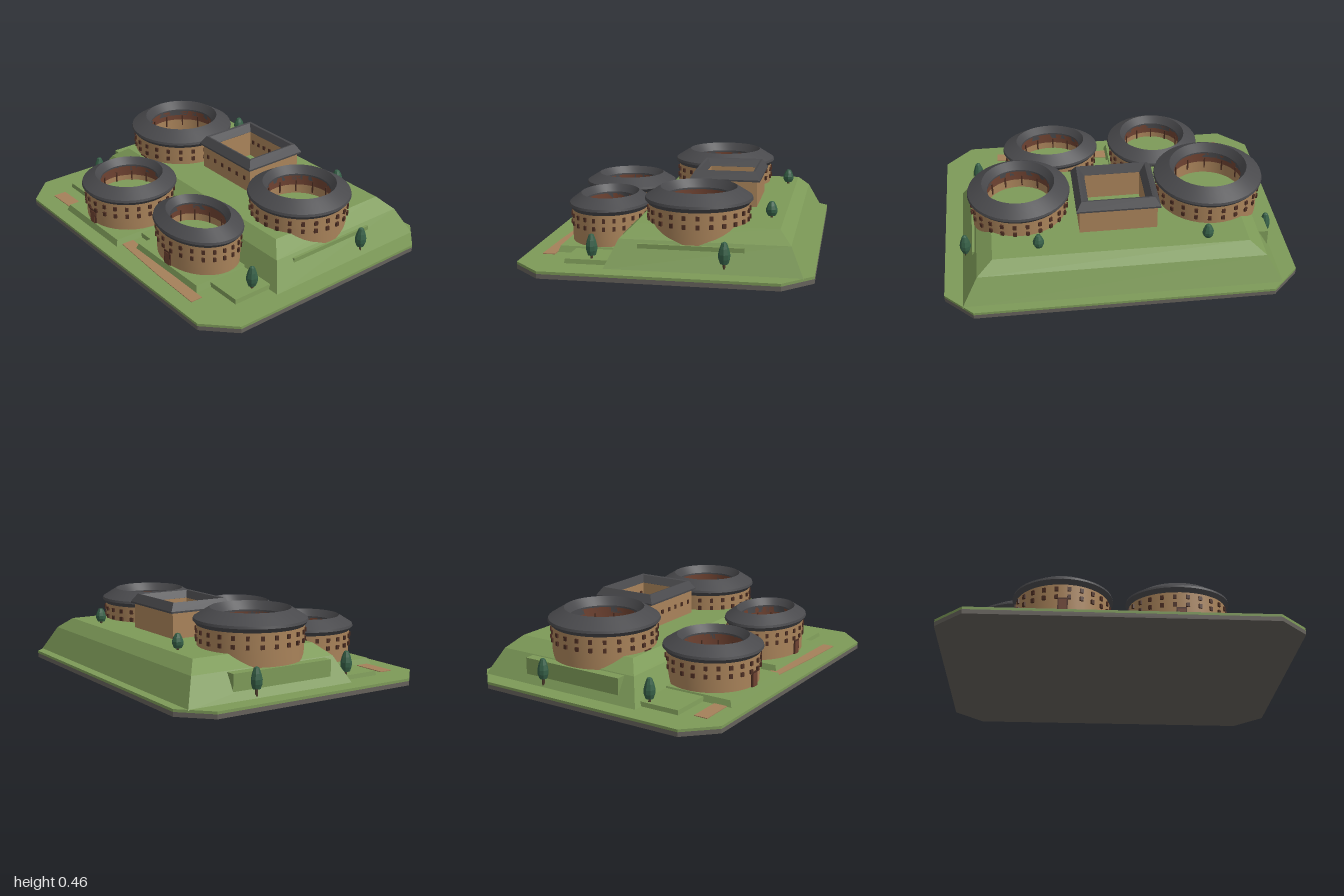
import * as THREE from 'three';
import { toCreasedNormals } from 'three/addons/utils/BufferGeometryUtils.js';

const mat = (name, color) => {
  const m = new THREE.MeshStandardMaterial({ color });
  m.name = name;
  return m;
};

// Rectangular cross-sections [y, x0, x1, z0, z1] joined with flat faces
function loft(sections, cap = true) {
  const pos = [], idx = [];
  for (const [y, x0, x1, z0, z1] of sections)
    pos.push(x0, y, z1, x1, y, z1, x1, y, z0, x0, y, z0);
  for (let s = 0; s < sections.length - 1; s++)
    for (let i = 0; i < 4; i++) {
      const a = s * 4 + i, b = s * 4 + (i + 1) % 4;
      idx.push(a, b, b + 4, a, b + 4, a + 4);
    }
  if (cap) {
    const t = (sections.length - 1) * 4;
    idx.push(t, t + 1, t + 2, t, t + 2, t + 3);
  }
  const g = new THREE.BufferGeometry();
  g.setAttribute('position', new THREE.Float32BufferAttribute(pos, 3));
  g.setIndex(idx);
  const flat = g.toNonIndexed();
  flat.computeVertexNormals();
  return flat;
}

// Flat plan outline of [x, z] points, raised from y by h
function slab(points, y, h) {
  const shape = new THREE.Shape(points.map(([x, z]) => new THREE.Vector2(x, -z)));
  const g = new THREE.ExtrudeGeometry(shape, { depth: h, bevelEnabled: false });
  return g.rotateX(-Math.PI / 2).translate(0, y, 0);
}

const lathe = (pts, n = 40) =>
  toCreasedNormals(new THREE.LatheGeometry(pts.map(p => new THREE.Vector2(...p)), n), 0.35);

export function createModel() {
  const model = new THREE.Group();
  const grass = mat('grass', 0x7d9a58), stone = mat('stone', 0x65615b);
  const earth = mat('earth wall', 0xa9835a), tile = mat('roof tile', 0x49494c);
  const wood = mat('gallery wood', 0x6e4231), dark = mat('window wood', 0x4e2f23);
  const dirt = mat('path', 0xa5805a), leaf = mat('foliage', 0x365f47), bark = mat('bark', 0x4a3a2a);

  const add = (parent, name, geo, material, x = 0, y = 0, z = 0) => {
    const m = new THREE.Mesh(geo, material);
    m.name = name;
    m.position.set(x, y, z);
    parent.add(m);
    return m;
  };

  // Ground plate
  const plate = [[-1, -.64], [-.84, -.8], [.84, -.8], [1, -.64], [1, .64], [.84, .8], [-.84, .8], [-1, .64]];
  add(model, 'stoneBase', slab(plate, 0, .025), stone);
  add(model, 'lawn', slab(plate, .025, .015), grass);

  // Hill and terraces
  add(model, 'hill', loft([[.035, -.9, .9, -.748, .31], [.185, -.81, .81, -.675, .24],
    [.25, -.72, .72, -.61, .17]]), grass);
  add(model, 'frontTerrace', loft([[.035, -.84, .83, .1, .54], [.065, -.835, .825, .1, .535]]), grass);
  const pads = [[-.56, -.14, .31, .32, .08, .18], [.55, -.15, .285, .285, .1, .168],
    [-.32, .435, .28, .28, .035, .075], [.33, .41, .29, .23, .035, .075]];
  for (const [x, z, w, d, y0, y1] of pads) {
    const t = y0 < .05 ? .015 : 0;
    add(model, 'housePad', loft([[y0, x - w, x + w, z - d, z + d],
      [y1, x - w + t, x + w - t, z - d + t, z + d - t]]), grass);
  }

  // Footpath
  add(model, 'footpath', slab([[-.8, .61], [-.04, .6], [.04, .605], [.3, .635], [.67, .64],
    [.67, .71], [.35, .7], [-.04, .675], [-.8, .69]], .038, .006), dirt);

  // Ring houses: R roof radius, ri courtyard radius, base, eave and ridge heights
  function roundHouse(x, z, R, ri, base, eave, ridge, floor, squash = 1) {
    const house = new THREE.Group();
    house.name = 'roundHouse';
    house.position.set(x, 0, z);
    house.scale.z = squash;
    const ro = R - .02, rin = ri + .015, wallTop = eave - .028;
    add(house, 'outerWall', lathe([[ro - .004, base - .01], [ro, wallTop + .01]]), earth);
    add(house, 'innerWall', lathe([[rin, eave - .06], [rin, floor - .05]]), earth);
    add(house, 'innerGallery', lathe([[rin, eave + .02], [rin, eave - .06]]), wood);
    add(house, 'roof', lathe([[rin, wallTop], [ro - .002, wallTop], [R, eave - .002], [R - .004, eave + .012],
      [ri + .055, ridge - .015], [ri + .03, ridge], [ri, eave + .018], [ri, eave + .008], [rin, eave + .008], [rin, wallTop]]), tile);
    add(house, 'courtyard', new THREE.CircleGeometry(rin, 40).rotateX(-Math.PI / 2), grass, 0, floor, 0);
    // Windows and gallery posts around the ring
    const n = 24;
    const win = new THREE.BoxGeometry(.02, .024, .016), post = new THREE.BoxGeometry(.008, .07, .006);
    for (let i = 0; i < n; i++) {
      const a = (i + .5) / n * Math.PI * 2, s = Math.sin(a), c = Math.cos(a);
      for (const y of [eave - .055, eave - .102])
        add(house, 'window', win, dark, s * ro, y, c * ro).rotation.y = a;
      if (i % 2)
        add(house, 'galleryPost', post, dark, s * (rin - .004), eave - .065, c * (rin - .004)).rotation.y = a;
    }
    add(house, 'doorFrame', new THREE.BoxGeometry(.056, .085, .014), dark, 0, base + .042, ro - .003);
    add(house, 'door', new THREE.BoxGeometry(.044, .075, .006), wood, 0, base + .037, ro + .004);
    model.add(house);
  }
  roundHouse(-.562, -.14, .318, .195, .17, .39, .457, .253);
  roundHouse(.55, -.15, .297, .18, .16, .368, .432, .253);
  roundHouse(-.32, .43, .284, .172, .075, .268, .328, .175);
  roundHouse(.33, .405, .295, .18, .075, .278, .338, .175, .78);

  // Square house with open courtyard
  const square = new THREE.Group();
  square.name = 'squareHouse';
  square.position.set(0, 0, -.246);
  const ring = (y, w, d) => [y, -w, w, -d, d];
  add(square, 'outerWall', loft([ring(.2, .222, .186), ring(.405, .222, .186)], false), earth);
  add(square, 'innerWall', loft([ring(.41, .162, .138), ring(.2, .162, .138)], false), earth);
  add(square, 'roof', loft([ring(.398, .162, .138), ring(.398, .238, .203), ring(.408, .238, .203),
    ring(.455, .208, .173), ring(.452, .194, .16), ring(.41, .165, .141), ring(.398, .162, .138)], false), tile);
  const pane = new THREE.BoxGeometry(.018, .024, .012);
  for (let i = 0; i < 6; i++) {
    add(square, 'frontWindow', pane, dark, -.175 + i * .07, .33, .186);
    add(square, 'courtyardWindow', pane, dark, -.13 + i * .052, .35, -.138);
  }
  model.add(square);

  // Trees
  const crown = lathe([[0, .015], [.022, .018], [.031, .045], [.032, .07], [.025, .1], [.014, .13], [0, .137]], 8)
    .toNonIndexed();
  crown.computeVertexNormals();
  const trunk = new THREE.CylinderGeometry(.007, .009, .06, 6);
  for (const [x, y, z, s] of [[-.49, .25, -.56, .68], [.46, .25, -.54, .68], [-.885, .07, -.325, 1],
    [.875, .075, -.335, 1], [-.81, .065, .34, 1], [.79, .065, .395, 1]]) {
    const tree = new THREE.Group();
    tree.name = 'tree';
    tree.position.set(x, y, z);
    tree.scale.set(1, s, 1);
    add(tree, 'trunk', trunk, bark);
    add(tree, 'crown', crown, leaf);
    model.add(tree);
  }
  return model;
}
